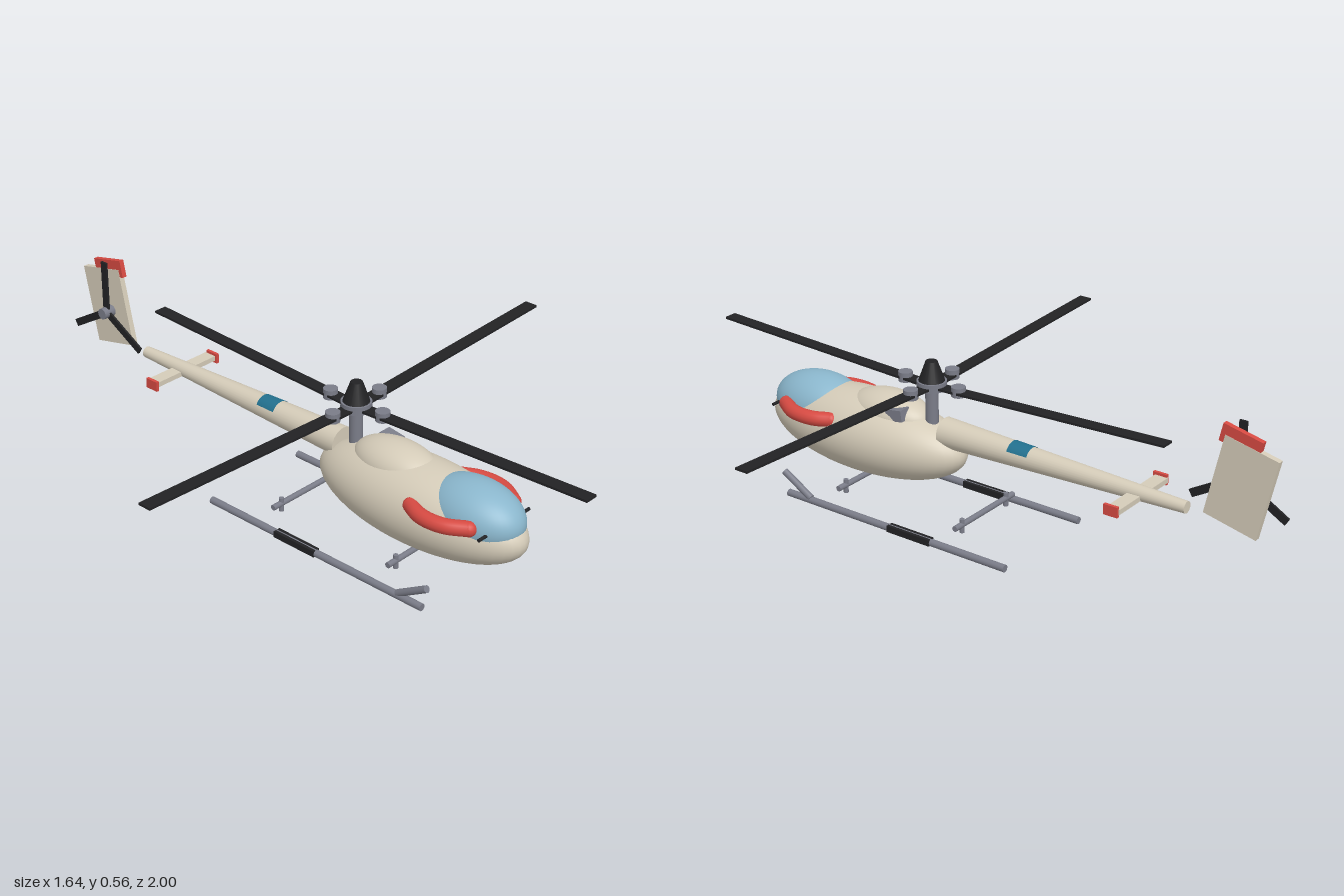
import * as THREE from 'three';

const mat = (name, color) => {
  const m = new THREE.MeshStandardMaterial({ color });
  m.name = name;
  return m;
};

export function createModel() {
  const cream = mat('cream', 0xd4cbb8), red = mat('red', 0xd64a42), glass = mat('glassBlue', 0x8ab6cc);
  const grey = mat('metalGrey', 0x7a7c88), black = mat('black', 0x222224), teal = mat('teal', 0x22708e);
  teal.side = THREE.DoubleSide;

  const root = new THREE.Group();
  root.name = 'helicopter';

  const add = (name, geo, material, pos = [0, 0, 0], parent = root) => {
    const m = new THREE.Mesh(geo, material);
    m.name = name;
    m.position.set(...pos);
    parent.add(m);
    return m;
  };
  const box = (w, h, d) => new THREE.BoxGeometry(w, h, d);
  const cyl = (a, b, h, n = 20) => new THREE.CylinderGeometry(a, b, h, n);
  const ellipsoid = (x, y, z) => new THREE.SphereGeometry(1, 48, 32).scale(x, y, z);
  // Round bar between two points
  const bar = (name, a, b, r, material) => {
    const p = new THREE.Vector3(...a), q = new THREE.Vector3(...b);
    const m = add(name, cyl(r, r, p.distanceTo(q), 14), material);
    m.position.copy(p).add(q).multiplyScalar(0.5);
    m.quaternion.setFromUnitVectors(new THREE.Vector3(0, 1, 0), q.sub(p).normalize());
    return m;
  };

  // Fuselage, canopy and engine cowl
  add('fuselage', ellipsoid(0.14, 0.13, 0.37), cream, [0, 0.207, 0.43]);
  add('canopy', ellipsoid(0.107, 0.098, 0.165), glass, [0, 0.25, 0.62]);
  add('engineCowl', ellipsoid(0.085, 0.07, 0.15), cream, [0, 0.29, 0.34]);
  add('exhaust', box(0.042, 0.036, 0.06), grey, [0.053, 0.318, 0.27]).rotation.x = 0.15;
  bar('noseProbe', [-0.112, 0.25, 0.725], [0.112, 0.25, 0.725], 0.005, black);

  // Curved red side tubes with rounded ends
  for (const s of [-1, 1]) {
    const pts = [[0.112, 0.485], [0.134, 0.53], [0.14, 0.575], [0.131, 0.625], [0.098, 0.68]]
      .map(([x, z]) => new THREE.Vector3(s * x, 0.262, z));
    add('sideTube', new THREE.TubeGeometry(new THREE.CatmullRomCurve3(pts), 32, 0.023, 16), red);
    for (const p of [pts[0], pts[4]])
      add('sideTubeEnd', new THREE.SphereGeometry(0.023, 16, 12), red, p.toArray());
  }

  // Tail boom with a teal band over its top
  add('tailBoom', cyl(0.047, 0.018, 0.84, 28).rotateX(Math.PI / 2), cream, [0, 0.277, -0.29]);
  const band = new THREE.CylinderGeometry(0.0396, 0.0372, 0.07, 16, 1, true, Math.PI - 1.1, 2.2);
  add('boomBand', band.rotateX(Math.PI / 2), teal, [0, 0.277, -0.155]);

  // Horizontal stabilizer with red end plates
  add('stabilizer', box(0.255, 0.016, 0.042), cream, [0, 0.27, -0.55]);
  for (const s of [-1, 1]) add('stabilizerTip', box(0.01, 0.032, 0.046), red, [s * 0.129, 0.27, -0.545]);

  // Swept tail fin with red cap
  add('tailFin', box(0.018, 0.253, 0.17), cream, [0, 0.388, -0.875]).rotation.x = -0.218;
  add('finCap', box(0.016, 0.055, 0.125), red, [0, 0.522, -0.867]).rotation.x = -0.218;

  // Three-bladed tail rotor on the right of the fin
  const tailRotor = new THREE.Group();
  tailRotor.name = 'tailRotor';
  tailRotor.position.set(-0.043, 0.387, -0.845);
  root.add(tailRotor);
  add('tailRotorHub', cyl(0.018, 0.018, 0.042).rotateZ(Math.PI / 2), grey, [0, 0, 0], tailRotor);
  for (let i = 0; i < 3; i++) {
    const blade = box(0.007, 0.172, 0.024).translate(0, 0.087, 0).rotateX(i * Math.PI * 2 / 3);
    add('tailRotorBlade', blade, black, [0, 0, 0], tailRotor);
  }

  // Main rotor
  const rotor = new THREE.Group();
  rotor.name = 'mainRotor';
  rotor.position.set(0, 0.42, 0.18);
  root.add(rotor);
  add('mast', cyl(0.02, 0.02, 0.14), grey, [0, -0.06, 0], rotor);
  add('rotorHub', cyl(0.046, 0.046, 0.026, 24), grey, [0, 0, 0], rotor);
  add('rotorCap', cyl(0.018, 0.045, 0.075, 20), black, [0, 0.037, 0], rotor);
  for (let i = 0; i < 4; i++) {
    const arm = new THREE.Group();
    arm.name = 'rotorArm';
    arm.rotation.y = i * Math.PI / 2;
    rotor.add(arm);
    add('bladeGrip', cyl(0.022, 0.022, 0.03), grey, [0.1, 0.002, 0], arm);
    add('rotorBlade', box(0.78, 0.007, 0.042), black, [0.43, 0.013, 0], arm).rotation.z = 0.04;
  }

  // Landing gear: skids, toes and pads
  for (const s of [-1, 1]) {
    const x = s * 0.189;
    bar('skid', [x, 0.0115, -0.23], [x, 0.0115, 0.6], 0.0115, grey);
    bar('skidToe', [x, 0.018, 0.51], [x, 0.08, 0.615], 0.011, grey);
    add('skidPad', box(0.025, 0.02, 0.16), black, [x, 0.0125, 0.12]);
  }
  // Cross tubes with short struts
  for (const z of [-0.015, 0.435]) {
    bar('crossTube', [-0.146, 0.055, z], [0.146, 0.055, z], 0.009, grey);
    for (const s of [-1, 1]) bar('strut', [s * 0.11, 0.03, z], [s * 0.11, 0.074, z], 0.008, grey);
  }
  return root;
}
